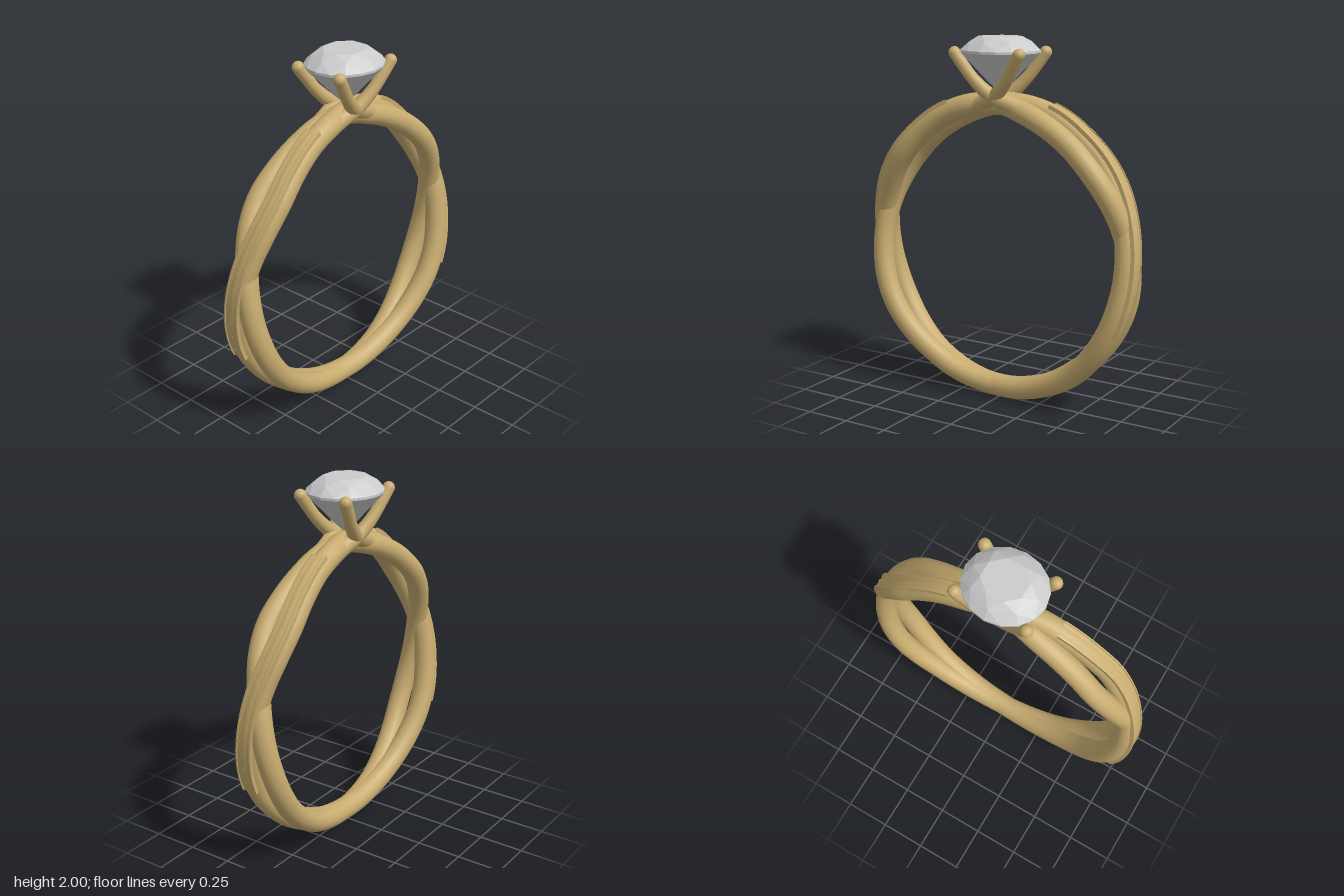
import * as THREE from 'three';
import { ConvexGeometry } from 'three/addons/geometries/ConvexGeometry.js';

const CY = 0.835; // height of the ring's centre
const gold = new THREE.MeshStandardMaterial({ color: 0xc8ac70 });
const gem = new THREE.MeshStandardMaterial({ color: 0xcccccc, flatShading: true });

// sideways offset and radius of the strands, every 12 degrees from top to bottom
const SWAY = [0, 0.035, 0.05, 0.062, 0.071, 0.052, 0.015, -0.018, -0.045, -0.065, -0.069, -0.056, -0.037, -0.022, -0.01, 0];
const R_OUTER = [0.81, 0.812, 0.805, 0.788, 0.777, 0.774];
const R_INNER = [0.81, 0.788, 0.773, 0.767, 0.765, 0.765];

function strandCurve(side, radii) {
  const pts = [];
  for (let i = 0; i < 30; i++) {
    const k = i <= 15 ? i : 30 - i, s = i <= 15 ? 1 : -1;
    const r = k > 12 ? 0.771 : radii[Math.min(k, 5)];
    const a = i * Math.PI / 15;
    pts.push(new THREE.Vector3(side * s * SWAY[k], CY + r * Math.cos(a), r * Math.sin(a)));
  }
  return new THREE.CatmullRomCurve3(pts, true, 'catmullrom', 0.5);
}

// position and axes on a strand at an angle (degrees) from the top
function frameAt(curve, deg) {
  const p = curve.getPoint(deg / 360);
  const along = curve.getPoint((deg + 0.5) / 360).sub(curve.getPoint((deg - 0.5) / 360)).normalize();
  const out = new THREE.Vector3(0, p.y - CY, p.z).normalize();
  const side = new THREE.Vector3().crossVectors(out, along).normalize();
  out.crossVectors(along, side);
  return { p, along, out, side };
}

// sweeps a closed outline of [side, out] pairs along a strand, with end caps
function sweep(curve, outline, from, to, steps) {
  const pos = [];
  const ring = i => {
    const f = frameAt(curve, from + (to - from) * i / steps);
    return outline.map(([s, o]) => f.p.clone().addScaledVector(f.side, s).addScaledVector(f.out, o));
  };
  const tri = (...v) => v.forEach(q => pos.push(q.x, q.y, q.z));
  const n = outline.length;
  const cap = THREE.ShapeUtils.triangulateShape(outline.map(o => new THREE.Vector2(...o)), []);
  let a = ring(0);
  cap.forEach(([i, j, k]) => tri(a[i], a[j], a[k]));
  for (let s = 1; s <= steps; s++) {
    const b = ring(s);
    for (let i = 0; i < n; i++) {
      const j = (i + 1) % n;
      tri(a[i], a[j], b[i]);
      tri(b[i], a[j], b[j]);
    }
    a = b;
  }
  cap.forEach(([i, j, k]) => tri(a[i], a[k], a[j]));
  const g = new THREE.BufferGeometry();
  g.setAttribute('position', new THREE.Float32BufferAttribute(pos, 3));
  g.computeVertexNormals();
  return g;
}

// round brilliant centre stone
function centreStone() {
  const pts = [new THREE.Vector3(0, 1.7, 0)];
  const ring = (n, r, y, turn) => {
    for (let i = 0; i < n; i++) {
      const a = (i + turn) * 2 * Math.PI / n;
      pts.push(new THREE.Vector3(r * Math.sin(a), y, 1.1 * r * Math.cos(a)));
    }
  };
  ring(8, 0.11, 2.0, 0.5);
  ring(8, 0.16, 1.972, 0);
  ring(16, 0.2, 1.928, 0);
  ring(16, 0.2, 1.915, 0);
  ring(8, 0.06, 1.757, 0.5);
  return new ConvexGeometry(pts);
}

// tapered prong with a domed tip
function prong(sx, sz) {
  const path = new THREE.CatmullRomCurve3([
    [0.035, 1.60, -0.2], [0.05, 1.645, -0.09], [0.075, 1.69, 0.01],
    [0.105, 1.77, 0.095], [0.128, 1.86, 0.16], [0.14, 1.915, 0.197]
  ].map(([x, y, z]) => new THREE.Vector3(x * sx, y, z * sz)));
  const group = new THREE.Group();
  group.name = 'prong';
  const geo = new THREE.TubeGeometry(path, 32, 1, 14);
  const p = geo.attributes.position, v = new THREE.Vector3();
  for (let i = 0; i < p.count; i++) {
    const t = Math.floor(i / 15) / 32, c = path.getPointAt(t);
    v.fromBufferAttribute(p, i).sub(c).multiplyScalar(0.05 - 0.017 * Math.min(1, t * 1.4)).add(c);
    p.setXYZ(i, v.x, v.y, v.z);
  }
  const tip = new THREE.Mesh(new THREE.SphereGeometry(0.033, 16, 12), gold);
  tip.name = 'prongTip';
  tip.position.copy(path.getPointAt(1));
  const stem = new THREE.Mesh(geo, gold);
  stem.name = 'prongStem';
  group.add(stem, tip);
  return group;
}

export function createModel() {
  const model = new THREE.Group();
  model.name = 'ring';
  const add = (name, geo, mat, parent = model) => {
    const m = new THREE.Mesh(geo, mat);
    m.name = name;
    parent.add(m);
    return m;
  };

  // two strands twisting round each other
  const outer = strandCurve(1, R_OUTER), inner = strandCurve(-1, R_INNER);
  add('outerStrand', new THREE.TubeGeometry(outer, 200, 0.063, 20, true), gold);
  add('innerStrand', new THREE.TubeGeometry(inner, 200, 0.06, 20, true), gold);

  // stone-set channel on each half of the outer strand
  const channel = [[-0.046, 0], [0.046, 0], [0.046, 0.064], [0.036, 0.066], [0.036, 0.06],
    [-0.036, 0.06], [-0.036, 0.066], [-0.046, 0.064]];
  const channelGeo = sweep(outer, channel, 19.5, 115, 48);
  const stoneGeo = new THREE.SphereGeometry(1, 10, 6);
  for (const turn of [0, Math.PI]) {
    const half = new THREE.Group();
    half.name = turn ? 'backSetting' : 'frontSetting';
    half.rotation.y = turn;
    add('channel', channelGeo, gold, half);
    for (let i = 0; i < 14; i++) {
      const f = frameAt(outer, 23.8 + i * 6.6);
      const s = add('smallStone', stoneGeo, gem, half);
      s.quaternion.setFromRotationMatrix(new THREE.Matrix4().makeBasis(f.side, f.out, f.along.clone().negate()));
      s.rotateY(Math.PI);
      s.scale.set(0.028, 0.018, 0.038);
      s.position.copy(f.p).addScaledVector(f.out, 0.06);
    }
    model.add(half);
  }

  // centre stone and its four prongs
  add('centreStone', centreStone(), gem);
  for (const sx of [-1, 1]) for (const sz of [-1, 1]) model.add(prong(sx, sz));
  return model;
}
